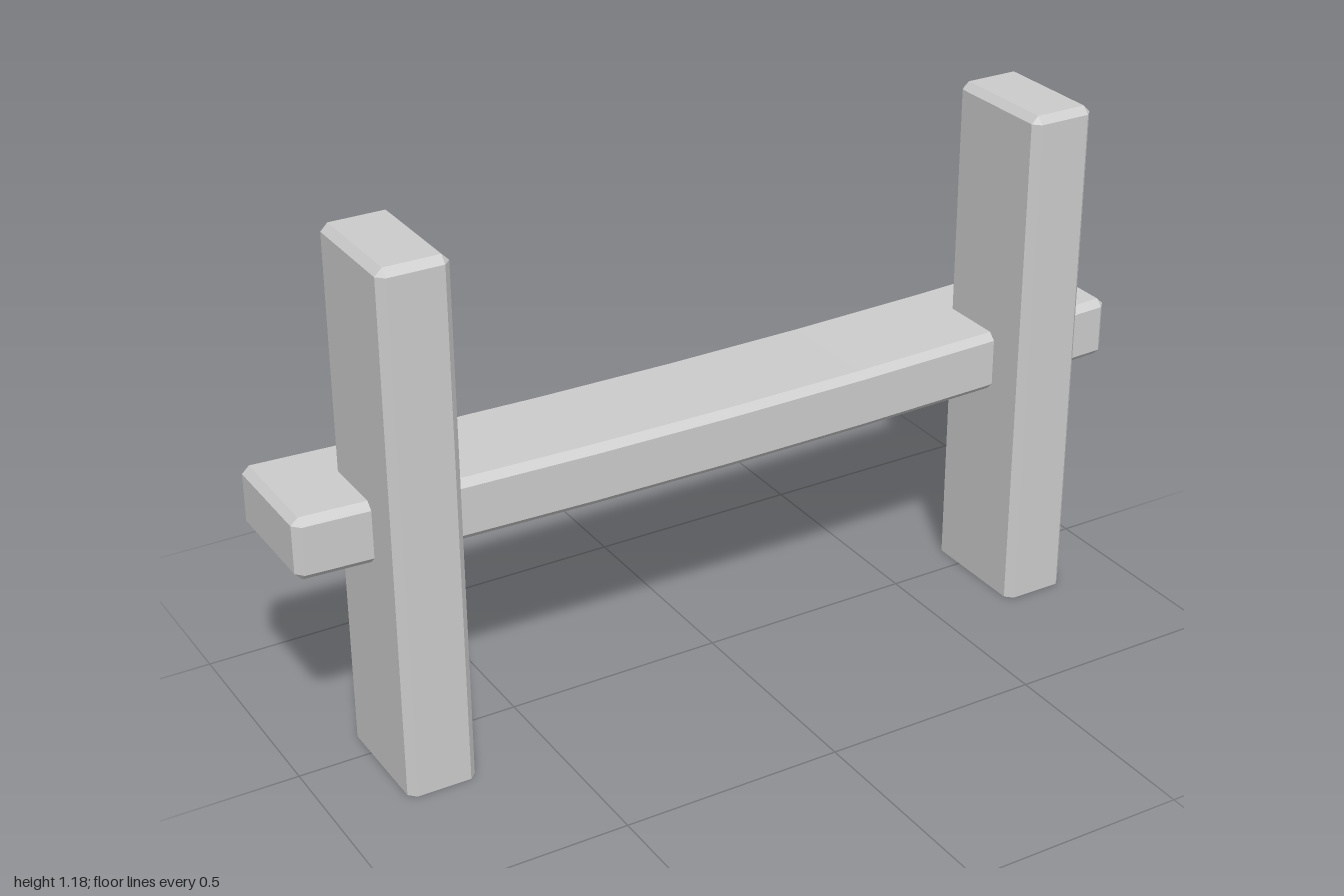
import * as THREE from 'three';

const material = new THREE.MeshStandardMaterial({ color: 0xcccccc, flatShading: true, side: THREE.DoubleSide });

// Chamfered rectangular bar lofted along t; each station is [t, isChamferedEnd].
// place(a, b, t) maps the section axes and length into the model.
function chamferedBar(a, b, c, stations, place, openStart) {
  const corners = [[1, 1], [-1, 1], [-1, -1], [1, -1]];
  const rings = stations.map(([t, end]) => corners.flatMap(([sa, sb], i) => {
    const inA = a - c, inB = b - c;
    const onA = place(sa * (end ? inA : a), sb * inB, t);
    const onB = place(sa * inA, sb * (end ? inB : b), t);
    return i % 2 ? [onB, onA] : [onA, onB];
  }));
  const points = [];
  const tri = (p, q, r) => {
    if (p.equals(q) || q.equals(r) || r.equals(p)) return;
    points.push(p, q, r);
  };
  for (let s = 0; s < rings.length - 1; s++) {
    const r0 = rings[s], r1 = rings[s + 1];
    for (let i = 0; i < 8; i++) {
      const j = (i + 1) % 8;
      tri(r0[i], r1[i], r1[j]);
      tri(r0[i], r1[j], r0[j]);
    }
  }
  // End caps
  const first = rings[0], last = rings[rings.length - 1];
  for (let i = 1; i < 7; i++) {
    if (!openStart) tri(first[0], first[i], first[i + 1]);
    tri(last[0], last[i + 1], last[i]);
  }
  const geometry = new THREE.BufferGeometry().setFromPoints(points);
  geometry.computeVertexNormals();
  return geometry;
}

export function createModel() {
  const group = new THREE.Group();
  const add = (name, geometry) => {
    const mesh = new THREE.Mesh(geometry, material);
    mesh.name = name;
    group.add(mesh);
    return mesh;
  };

  // Upright posts, chamfered at the top and open underneath
  const height = 1.18, chamfer = 0.016;
  const post = chamferedBar(0.077, 0.14, chamfer,
    [[0, false], [height - chamfer, false], [height, true]],
    (a, b, t) => new THREE.Vector3(a, t, b), true);
  for (const [name, side] of [['leftPost', 1], ['rightPost', -1]]) {
    add(name, post).position.set(side * 0.759, 0, 0.0525);
  }

  // Sagging rail across the back of the posts
  const bend = 0.984;
  const stations = [[-1, true]];
  for (let i = -3; i <= 3; i++) stations.push([bend * i / 3, false]);
  stations.push([1, true]);
  const rail = chamferedBar(0.14, 0.07, chamfer, stations,
    (a, b, t) => new THREE.Vector3(t, b + 0.021 * t * t, a), false);
  add('rail', rail).position.set(0, 0.556, -0.0525);

  return group;
}
